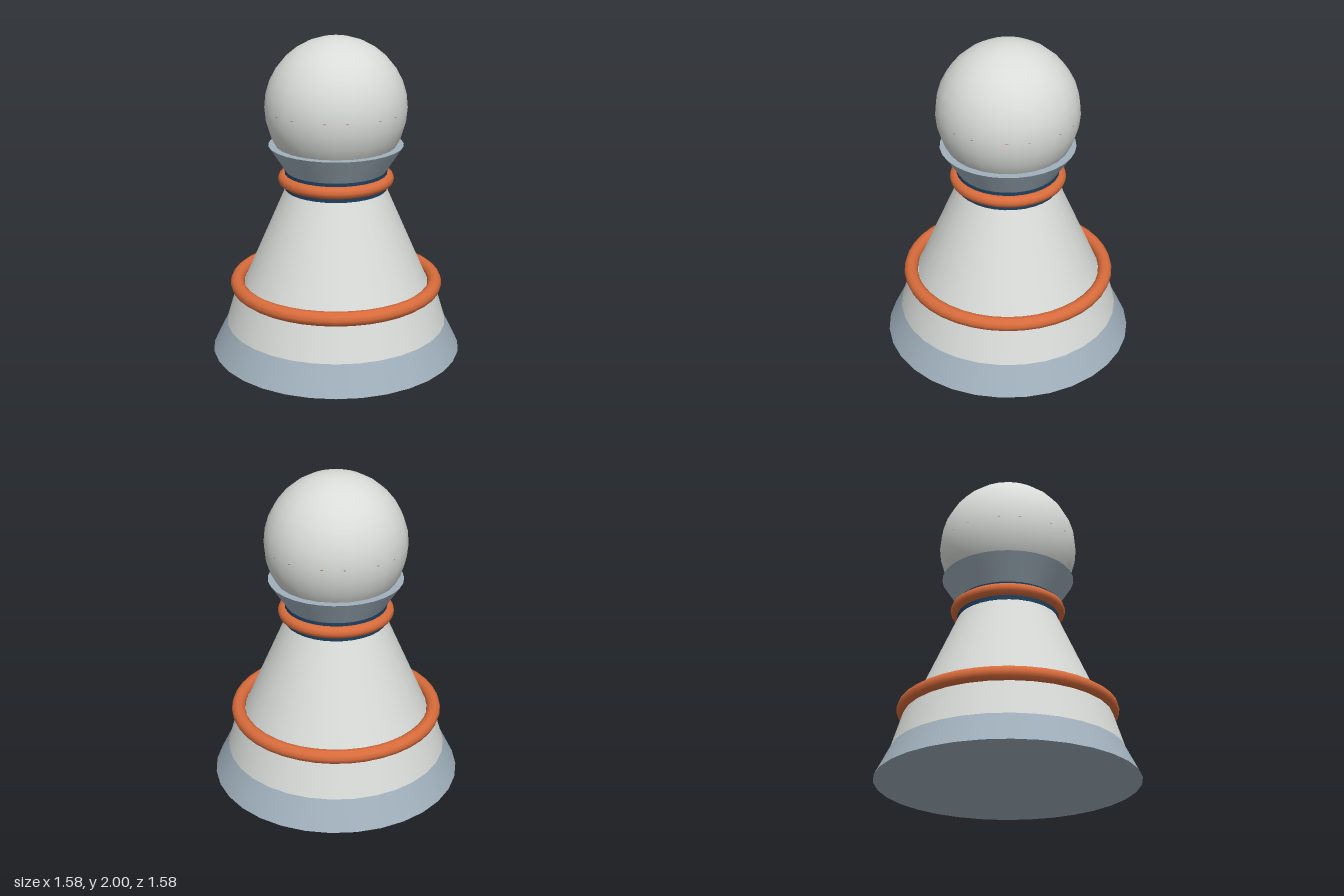
import * as THREE from 'three';

const mat = (name, color) => {
  const m = new THREE.MeshStandardMaterial({ color });
  m.name = name;
  return m;
};

export function createModel() {
  const group = new THREE.Group();
  const white = mat('warm white', 0xd9dcd9);
  const slate = mat('slate blue', 0xa0b0bc);
  const orange = mat('orange', 0xd96c3c);
  const navy = mat('navy', 0x1f3f5c);

  const add = (name, geometry, material, y) => {
    const mesh = new THREE.Mesh(geometry, material);
    mesh.name = name;
    mesh.position.y = y;
    group.add(mesh);
  };
  // Tapered drum between two heights
  const drum = (name, material, y0, y1, r0, r1) =>
    add(name, new THREE.CylinderGeometry(r1, r0, y1 - y0, 32), material, (y0 + y1) / 2);
  // Horizontal ring
  const ring = (name, y, radius, tube) =>
    add(name, new THREE.TorusGeometry(radius, tube, 10, 40).rotateX(Math.PI / 2), orange, y);

  // Foot and body
  drum('base', slate, 0, 0.18, 0.79, 0.70);
  drum('lowerBody', white, 0.18, 0.44, 0.70, 0.62);
  drum('upperBody', white, 0.44, 1.053, 0.583, 0.315);
  ring('bodyRing', 0.438, 0.627, 0.044);

  // Neck and flared collar
  drum('neck', navy, 1.053, 1.172, 0.318, 0.318);
  ring('neckRing', 1.117, 0.322, 0.038);
  drum('collar', slate, 1.172, 1.333, 0.312, 0.417);

  // Head with a band that just breaks its surface
  add('head', new THREE.SphereGeometry(0.4375, 24, 16), white, 1.5625);
  ring('headBand', 1.5625, 0.4146, 0.02);

  return group;
}
